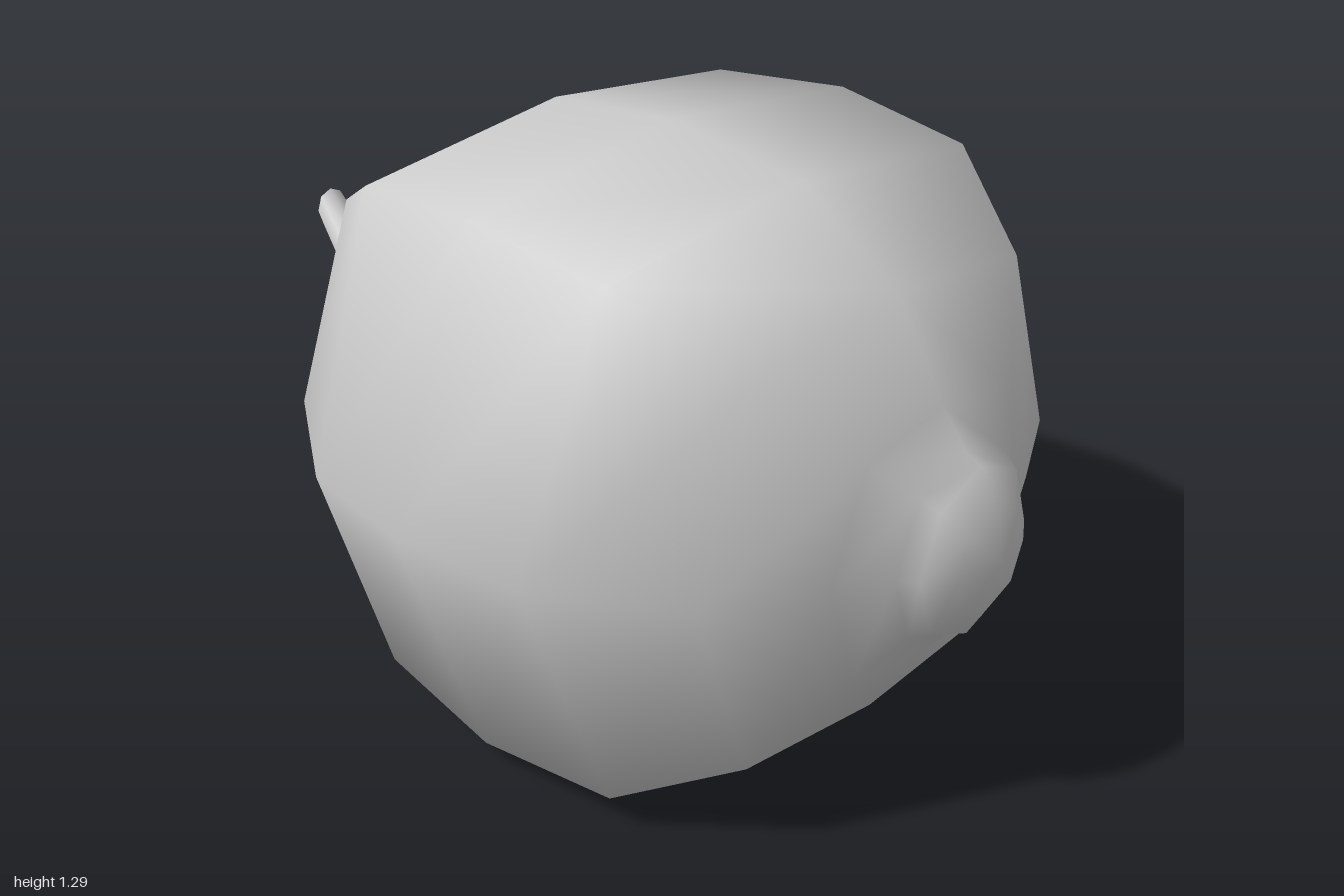
import * as THREE from 'three';

const CY = 0.65; // height of the fruit's long axis
const material = new THREE.MeshStandardMaterial({ color: 0xcccccc, side: THREE.DoubleSide });

// Lofts eight-sided rings running towards +x, with both ends closed at a centre point.
// ring: [x, half height, half depth, diagonal height factor, centre y, x of the side corners]
function loft(name, rings, startX, endX) {
  const pos = [];
  const index = [];
  const n = 8;
  for (const [x, ry, rz, dy = 0.72, cy = CY, sideX = x] of rings) {
    for (let j = 0; j < n; j++) {
      const a = (j / n) * Math.PI * 2;
      const diagonal = j % 2 === 1;
      const y = diagonal ? Math.sign(Math.cos(a)) * dy : Math.round(Math.cos(a));
      const z = diagonal ? Math.sign(Math.sin(a)) * 0.72 : Math.round(Math.sin(a));
      pos.push(j % 4 === 2 ? sideX : x, cy + y * ry, z * rz);
    }
  }
  for (let i = 0; i < rings.length - 1; i++) {
    for (let j = 0; j < n; j++) {
      const a = i * n + j, b = i * n + (j + 1) % n;
      index.push(a, b, a + n, b, b + n, a + n);
    }
  }
  // End points
  const last = (rings.length - 1) * n;
  const start = rings.length * n;
  pos.push(startX, rings[0][4] ?? CY, 0, endX, rings[rings.length - 1][4] ?? CY, 0);
  for (let j = 0; j < n; j++) {
    const k = (j + 1) % n;
    index.push(start, k, j, start + 1, last + j, last + k);
  }
  const geometry = new THREE.BufferGeometry();
  geometry.setAttribute('position', new THREE.Float32BufferAttribute(pos, 3));
  geometry.setIndex(index);
  geometry.computeVertexNormals();
  const mesh = new THREE.Mesh(geometry, material);
  mesh.name = name;
  return mesh;
}

export function createModel() {
  const group = new THREE.Group();
  group.name = 'citrusFruit';

  // Faceted round body ending in a small nipple at +x
  group.add(loft('fruitBody', [
    [-0.56, 0.27, 0.29, 0.82],
    [-0.43, 0.46, 0.52, 0.91],
    [-0.19, 0.61, 0.70, 0.905, CY, -0.15],
    [0.14, 0.645, 0.737, 0.907],
    [0.48, 0.61, 0.70, 0.905, CY, 0.44],
    [0.72, 0.46, 0.52, 0.91],
    [0.84, 0.27, 0.30, 0.84],
    [0.895, 0.2, 0.18, 0.76],
    [0.935, 0.182, 0.16],
    [0.975, 0.11, 0.1],
  ], -0.56, 1));

  // Bent stalk flaring into a collar against the body
  group.add(loft('stemAndCollar', [
    [-1, 0.047, 0.04, 0.72, 0.782],
    [-0.89, 0.058, 0.055, 0.72, 0.662],
    [-0.685, 0.073, 0.066, 0.72, 0.647],
    [-0.655, 0.16, 0.135, 0.75],
    [-0.622, 0.23, 0.21, 0.78],
    [-0.56, 0.272, 0.292, 0.82],
  ], -1, -0.56));

  return group;
}
